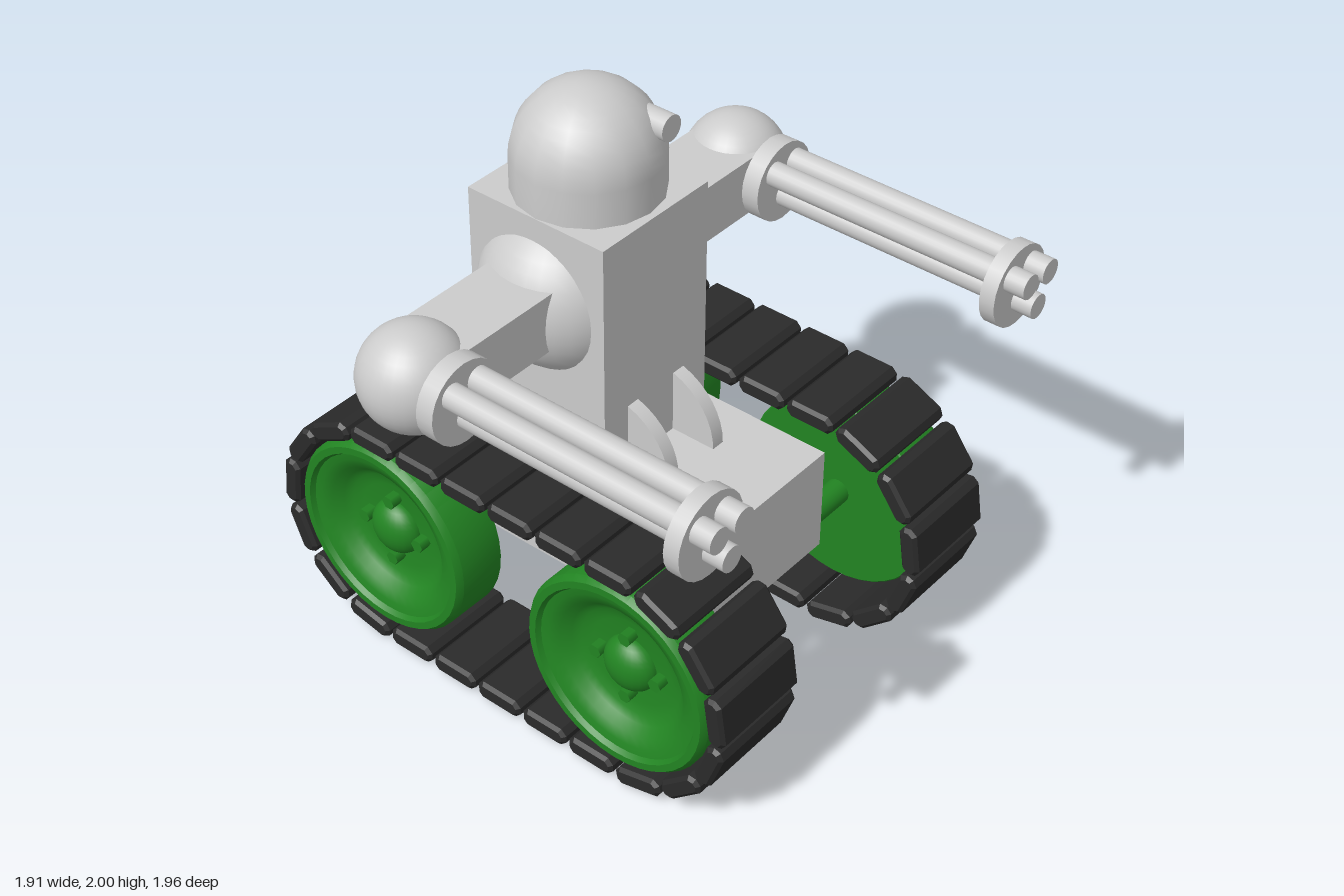
import * as THREE from 'three';
import { toCreasedNormals } from 'three/addons/utils/BufferGeometryUtils.js';

const grey = new THREE.MeshStandardMaterial({ color: 0xcccccc });
const green = new THREE.MeshStandardMaterial({ color: 0x228422 });
const black = new THREE.MeshStandardMaterial({ color: 0x2a2a2a });

function add(parent, name, geometry, material, x = 0, y = 0, z = 0) {
  const mesh = new THREE.Mesh(geometry, material);
  mesh.name = name;
  mesh.position.set(x, y, z);
  parent.add(mesh);
  return mesh;
}

function group(parent, name) {
  const g = new THREE.Group();
  g.name = name;
  parent.add(g);
  return g;
}

const box = (w, h, d) => new THREE.BoxGeometry(w, h, d);
const rodX = (r, len, n = 24) => new THREE.CylinderGeometry(r, r, len, n).rotateZ(-Math.PI / 2);
const rodZ = (r, len, n = 24) => new THREE.CylinderGeometry(r, r, len, n).rotateX(Math.PI / 2);

// Dished wheel, turned about x, outer face towards +x
function makeWheel(parent, side, z) {
  const wheel = group(parent, 'wheel');
  const profile = [
    [0, 0.48], [0.355, 0.48], [0.36, 0.485], [0.36, 0.66], [0.345, 0.682], [0.32, 0.682],
    [0.31, 0.665], [0.285, 0.66], [0.25, 0.645], [0.225, 0.615], [0.2, 0.598], [0.16, 0.59], [0, 0.59],
  ].map(([r, h]) => new THREE.Vector2(r, h));
  const disc = toCreasedNormals(new THREE.LatheGeometry(profile, 40), 0.6);
  add(wheel, 'wheelDisc', disc.rotateZ(-Math.PI / 2), green);
  add(wheel, 'hubCap', new THREE.SphereGeometry(0.1, 24, 16).scale(0.7, 1, 1), green, 0.59);
  for (let i = 0; i < 4; i++) {
    const a = i * Math.PI / 2;
    add(wheel, 'wheelBolt', rodX(0.025, 0.06, 6), green, 0.6, 0.12 * Math.sin(a), 0.12 * Math.cos(a));
  }
  wheel.position.set(0, 0.445, z);
  // Half turn about y keeps the winding while facing the other side
  if (side < 0) wheel.rotation.y = Math.PI;
}

// One bevelled track link, lying flat and centred on the origin
function linkGeometry() {
  const l = 0.08, t = 0.022, c = 0.014;
  const s = new THREE.Shape([
    [-l + c, -t], [l - c, -t], [l, -t + c], [l, t - c], [l - c, t], [-l + c, t], [-l, t - c], [-l, -t + c],
  ].map(([x, y]) => new THREE.Vector2(x, y)));
  const g = new THREE.ExtrudeGeometry(s, {
    depth: 0.351, bevelEnabled: true, bevelThickness: 0.012, bevelSize: 0.012, bevelSegments: 1,
  });
  return g.translate(0, 0, -0.1755).rotateY(Math.PI / 2);
}

// Links spread evenly round a stadium-shaped path
function makeTrack(parent, side) {
  const track = group(parent, 'track');
  const geo = linkGeometry();
  const zFront = 0.47, zBack = -0.535, r = 0.402, yc = 0.441, count = 23;
  const straight = zFront - zBack, arc = Math.PI * r, total = 2 * (straight + arc);
  for (let i = 0; i < count; i++) {
    let s = (0.097 + i * total / count) % total;
    let z, a; // a: angle from straight down, turning towards the back
    if (s < straight) { z = zFront - s; a = 0; }
    else if ((s -= straight) < arc) { z = zBack; a = s / r; }
    else if ((s -= arc) < straight) { z = zBack + s; a = Math.PI; }
    else { z = zFront; a = Math.PI + (s - straight) / r; }
    const link = add(track, 'trackLink', geo, black, side * 0.5025,
      yc - r * Math.cos(a), z - r * Math.sin(a));
    link.rotation.x = a;
  }
}

// Shoulder, arm, elbow and three-barrelled gun
function makeArm(parent, side) {
  const arm = group(parent, side > 0 ? 'leftArm' : 'rightArm');
  const x = side * 0.77, y = 1.33;
  add(arm, 'shoulder', new THREE.SphereGeometry(0.28, 32, 20), grey, side * 0.1, 1.31, -0.213);
  add(arm, 'upperArm', box(0.5, 0.21, 0.26), grey, side * 0.5, 1.335, -0.21);
  add(arm, 'elbow', new THREE.SphereGeometry(0.18, 32, 20), grey, side * 0.773, y, -0.222);
  add(arm, 'rearCollar', rodZ(0.143, 0.065), grey, x, y, -0.048);
  add(arm, 'frontCollar', rodZ(0.143, 0.055), grey, x, y, 0.88);
  for (const [dx, dy] of [[-0.055, 0.057], [0.055, 0.057], [0.003, -0.048]]) {
    add(arm, 'barrel', rodZ(0.043, 1.04, 20), grey, x + dx, y + dy, 0.46);
  }
}

export function createModel() {
  const model = new THREE.Group();
  model.name = 'trackedRobot';

  // Body
  add(model, 'chassis', box(0.62, 0.39, 1.17), grey, -0.005, 0.555, -0.055);
  add(model, 'torso', box(0.5, 0.88, 0.548), grey, 0, 1.19, -0.2);

  // Domed head with one eye
  const head = [new THREE.Vector2(0, 1.62), new THREE.Vector2(0.248, 1.62)];
  for (let i = 0; i <= 10; i++) {
    const a = i / 10 * Math.PI / 2;
    head.push(new THREE.Vector2(i === 10 ? 0 : 0.248 * Math.cos(a), 1.752 + 0.248 * Math.sin(a)));
  }
  add(model, 'head', toCreasedNormals(new THREE.LatheGeometry(head, 16), 0.7), grey, 0, 0, -0.197);
  add(model, 'eye', rodZ(0.045, 0.19), grey, 0.11, 1.875, -0.055);

  for (const side of [1, -1]) {
    // Rounded braces in front of the torso
    add(model, 'brace', rodX(0.238, 0.05, 40), grey, side * 0.113, 0.75, 0.005);
    makeArm(model, side);
    makeTrack(model, side);
    for (const z of [0.47, -0.535]) makeWheel(model, side, z);
  }

  // Axles
  for (const z of [0.47, -0.535]) add(model, 'axle', rodX(0.045, 1), green, 0, 0.445, z);
  return model;
}
